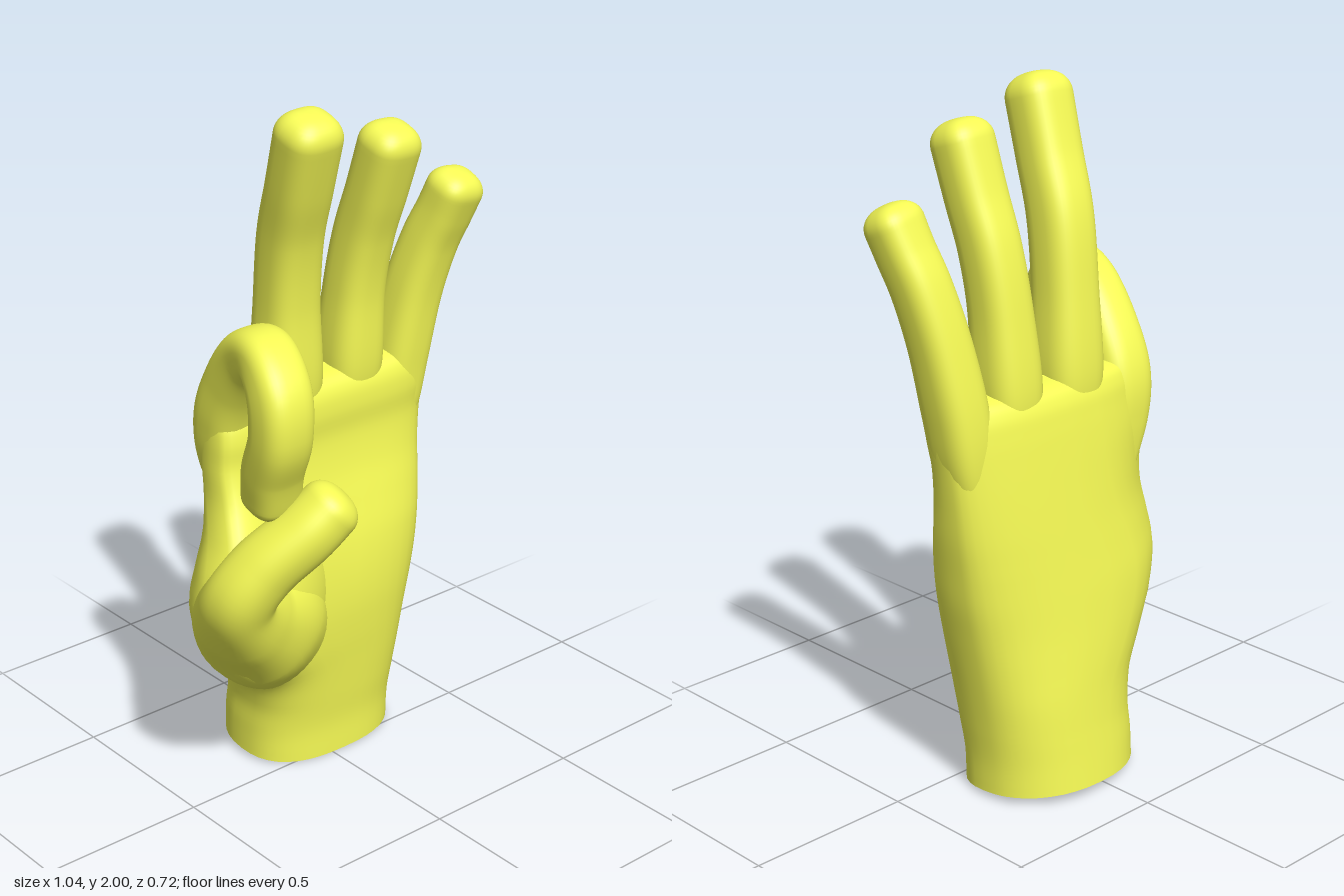
import * as THREE from 'three';

const V = (x, y, z) => new THREE.Vector3(x, y, z);
const SIDES = 40;
const material = new THREE.MeshStandardMaterial({ color: 0xf6fa55 });

// signed power, for superellipse sections
const sp = (v, e) => Math.sign(v) * Math.pow(Math.abs(v), e);

// skin a list of closed rings (counter-clockwise about the direction of travel)
function loft(rings, name) {
  const pos = [], index = [];
  for (const ring of rings) for (const p of ring) pos.push(p.x, p.y, p.z);
  for (let i = 0; i < rings.length - 1; i++) {
    for (let j = 0; j < SIDES; j++) {
      const k = (j + 1) % SIDES;
      const a = i * SIDES + j, b = i * SIDES + k;
      index.push(a, b, b + SIDES, a, b + SIDES, a + SIDES);
    }
  }
  const geo = new THREE.BufferGeometry();
  geo.setAttribute('position', new THREE.Float32BufferAttribute(pos, 3));
  geo.setIndex(index);
  geo.computeVertexNormals();
  const mesh = new THREE.Mesh(geo, material);
  mesh.name = name;
  return mesh;
}

const smooth = pts => new THREE.CatmullRomCurve3(pts, false, 'catmullrom', 0.5);

// finger: points are [x, y, z, half width, half depth]; tip is the rounded end length
function finger(name, points, side, tip, power = 0.72) {
  const path = smooth(points.map(p => V(p[0], p[1], p[2])));
  const size = smooth(points.map(p => V(p[3], p[4], 0)));
  const rings = [];
  const addRing = (t, push, scale) => {
    const T = path.getTangent(t);
    const N = T.clone().cross(side).normalize();
    const S = N.clone().cross(T);
    const c = path.getPoint(t).addScaledVector(T, push), r = size.getPoint(t);
    const ring = [];
    for (let j = 0; j < SIDES; j++) {
      const a = j / SIDES * Math.PI * 2;
      ring.push(c.clone()
        .addScaledVector(S, sp(Math.cos(a), power) * r.x * scale)
        .addScaledVector(N, sp(Math.sin(a), power) * r.y * scale));
    }
    rings.push(ring);
  };
  const steps = (points.length - 1) * 8;
  for (let i = 0; i <= steps; i++) addRing(i / steps, 0, 1);
  for (let i = 1; i <= 10; i++) {
    const a = i / 10 * Math.PI / 2;
    addRing(1, tip * Math.sin(a), i === 10 ? 0.001 : Math.pow(Math.cos(a), 0.8));
  }
  return loft(rings, name);
}

// palm and wrist: sections are [y, left x, right x, back z, front z, thumb-side sweep]
function palm() {
  const sections = [
    [0.00, -0.21, 0.30, -0.36, 0.03, 0],
    [0.10, -0.21, 0.30, -0.35, 0.03, 0],
    [0.20, -0.212, 0.308, -0.34, 0.04, 0.01],
    [0.30, -0.245, 0.32, -0.33, 0.05, 0.03],
    [0.40, -0.345, 0.335, -0.32, 0.06, 0.09],
    [0.50, -0.435, 0.352, -0.308, 0.065, 0.14],
    [0.60, -0.48, 0.37, -0.295, 0.06, 0.17],
    [0.70, -0.455, 0.383, -0.28, 0.045, 0.16],
    [0.80, -0.40, 0.396, -0.265, 0.02, 0.11],
    [0.90, -0.365, 0.405, -0.25, -0.005, 0.06],
    [1.00, -0.355, 0.415, -0.235, -0.018, 0.03],
    [1.08, -0.35, 0.425, -0.222, -0.014, 0.02],
    [1.14, -0.34, 0.425, -0.208, -0.022, 0.01],
    [1.18, -0.31, 0.41, -0.18, -0.05, 0],
    [1.195, -0.20, 0.33, -0.116, -0.112, 0],
  ];
  const n = sections.length - 1;
  const a = smooth(sections.map(s => V(s[0], s[1], s[2])));
  const b = smooth(sections.map(s => V(s[3], s[4], s[5])));
  const rings = [];
  for (let i = 0; i <= n * 5; i++) {
    const t = i / (n * 5), p = a.getPoint(t), q = b.getPoint(t);
    // the oval wrist turns into a squarer palm
    const power = THREE.MathUtils.lerp(0.85, 0.64, Math.min(1, p.x / 0.7));
    const ring = [];
    for (let j = 0; j < SIDES; j++) {
      const ang = j / SIDES * Math.PI * 2;
      const u = sp(Math.cos(ang), power), w = sp(Math.sin(ang), power);
      const x = (p.y + p.z) / 2 + u * (p.z - p.y) / 2;
      const z = (q.x + q.y) / 2 - w * (q.y - q.x) / 2
        + q.z * Math.pow(Math.max(0, -u), 2) + 0.02 * u * u;
      // the cut of the wrist rises slightly toward the back
      const lift = Math.max(0, 1 - p.x / 0.2) * 0.03 * (w + 1) / 2;
      ring.push(V(x, p.x + lift, z));
    }
    rings.push(ring);
  }
  const centre = rings[0].reduce((s, p) => s.add(p), V(0, 0, 0)).divideScalar(SIDES);
  const cap = loft([rings[0].map(() => centre), rings[0]], 'wristEnd');
  return [loft(rings, 'palm'), cap];
}

export function createModel() {
  const hand = new THREE.Group();
  hand.name = 'hand';
  hand.add(...palm());

  const X = V(1, 0, 0);
  // three raised fingers, each rooted inside the palm
  hand.add(finger('middleFinger', [
    [-0.055, 0.98, -0.12, 0.06, 0.06],
    [-0.055, 1.17, -0.112, 0.094, 0.093],
    [-0.062, 1.42, -0.098, 0.086, 0.085],
    [-0.072, 1.62, -0.068, 0.084, 0.085],
    [-0.085, 1.78, -0.012, 0.086, 0.083],
    [-0.094, 1.93, 0.037, 0.088, 0.083],
  ], X, 0.068));
  hand.add(finger('ringFinger', [
    [0.17, 0.98, -0.12, 0.06, 0.06],
    [0.172, 1.17, -0.11, 0.088, 0.09],
    [0.178, 1.40, -0.092, 0.08, 0.082],
    [0.185, 1.57, -0.06, 0.078, 0.08],
    [0.19, 1.71, -0.012, 0.08, 0.078],
    [0.194, 1.85, 0.034, 0.082, 0.078],
  ], X, 0.064));
  hand.add(finger('littleFinger', [
    [0.32, 0.84, -0.125, 0.04, 0.05],
    [0.338, 1.0, -0.115, 0.072, 0.08],
    [0.357, 1.16, -0.103, 0.08, 0.086],
    [0.385, 1.35, -0.075, 0.078, 0.08],
    [0.412, 1.50, -0.038, 0.076, 0.076],
    [0.432, 1.60, 0.002, 0.076, 0.073],
    [0.444, 1.67, 0.03, 0.078, 0.072],
  ], X, 0.058));

  // index finger curled forward and down to the thumb
  hand.add(finger('indexFinger', [
    [-0.24, 0.86, -0.14, 0.04, 0.05],
    [-0.255, 1.00, -0.122, 0.08, 0.08],
    [-0.265, 1.13, -0.108, 0.088, 0.087],
    [-0.272, 1.25, -0.055, 0.085, 0.085],
    [-0.288, 1.355, 0.03, 0.08, 0.08],
    [-0.312, 1.385, 0.125, 0.08, 0.074],
    [-0.338, 1.315, 0.208, 0.082, 0.077],
    [-0.343, 1.195, 0.218, 0.08, 0.077],
    [-0.332, 1.08, 0.17, 0.078, 0.078],
    [-0.318, 0.99, 0.145, 0.076, 0.075],
  ], X, 0.05));

  // thumb growing out of its broad mound
  hand.add(finger('thumb', [
    [-0.05, 0.22, -0.14, 0.10, 0.11],
    [-0.12, 0.38, -0.10, 0.15, 0.17],
    [-0.23, 0.51, -0.03, 0.18, 0.19],
    [-0.355, 0.61, 0.06, 0.14, 0.14],
    [-0.42, 0.71, 0.135, 0.1, 0.1],
    [-0.375, 0.81, 0.185, 0.093, 0.09],
    [-0.285, 0.905, 0.245, 0.089, 0.086],
    [-0.22, 0.97, 0.272, 0.086, 0.083],
  ], V(0, 0, 1), 0.06, 0.9));
  const mound = new THREE.Mesh(new THREE.SphereGeometry(1, 48, 32), material);
  mound.name = 'thumbMound';
  mound.scale.set(0.23, 0.27, 0.13);
  mound.position.set(-0.2, 0.57, -0.01);
  mound.rotation.set(0, 0.3, 0.1);
  hand.add(mound);
  return hand;
}
